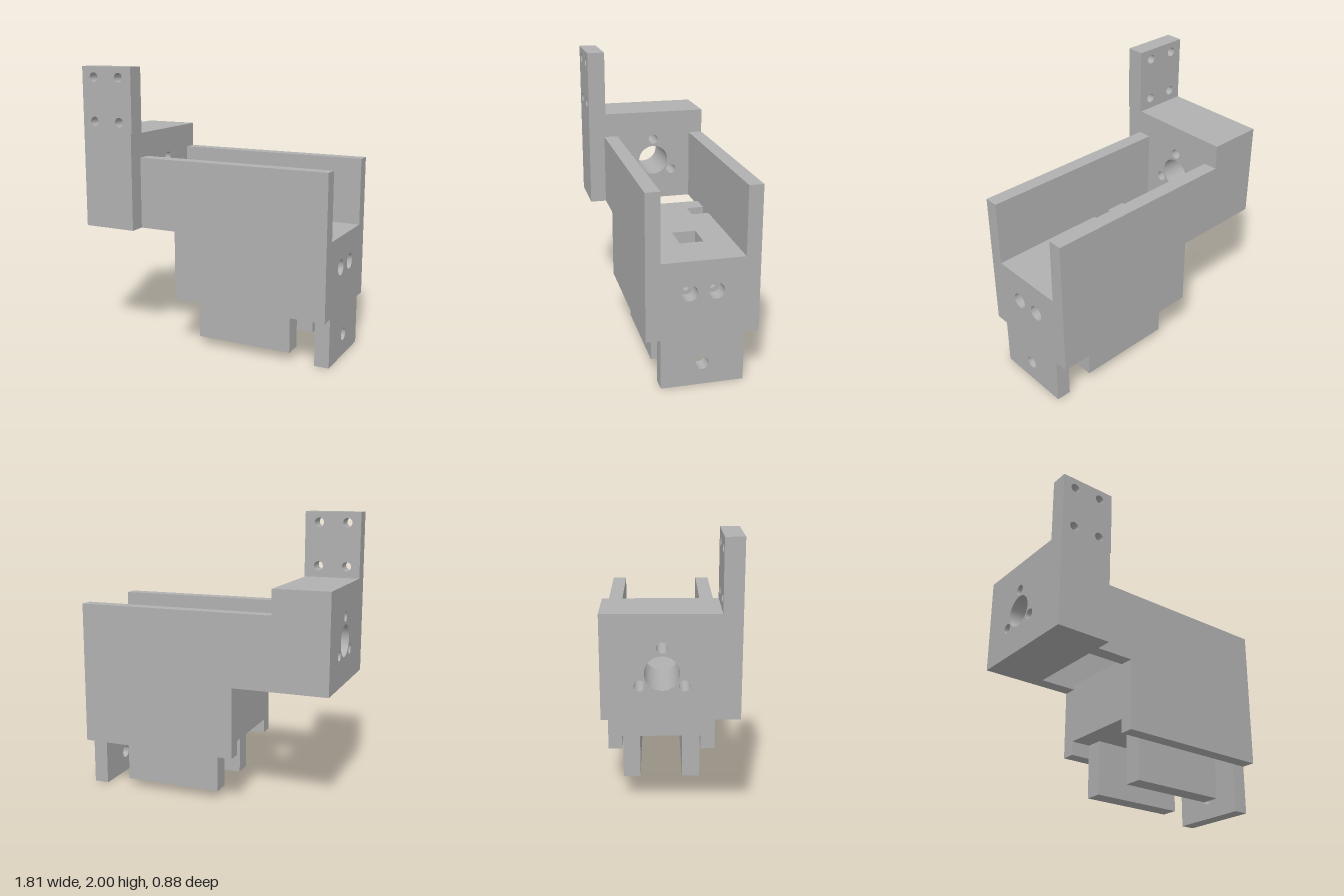
import * as THREE from 'three';
import { toCreasedNormals } from 'three/addons/utils/BufferGeometryUtils.js';

// Shape from corner points, with round holes given as [x, y, radius]
function outline(points, holes = []) {
  const shape = new THREE.Shape(points.map(([x, y]) => new THREE.Vector2(x, y)));
  for (const [x, y, r] of holes) {
    shape.holes.push(new THREE.Path().absarc(x, y, r, 0, Math.PI * 2, true));
  }
  return shape;
}

const rect = (x0, x1, y0, y1) => [[x0, y0], [x1, y0], [x1, y1], [x0, y1]];

function extrude(shape, depth) {
  return new THREE.ExtrudeGeometry(shape, { depth, bevelEnabled: false, curveSegments: 32 });
}

// Shape drawn in (x, y), running from z0 to z1
const alongZ = (shape, z0, z1) => extrude(shape, z1 - z0).translate(0, 0, z0);
// Shape drawn in (-z, y), running from x0 to x1
const alongX = (shape, x0, x1) => extrude(shape, x1 - x0).rotateY(Math.PI / 2).translate(x0, 0, 0);
// Shape drawn in (x, -z), running from y0 to y1
const alongY = (shape, y0, y1) => extrude(shape, y1 - y0).rotateX(-Math.PI / 2).translate(0, y0, 0);

export function createModel() {
  const model = new THREE.Group();
  model.name = 'mountingBracket';
  const grey = new THREE.MeshStandardMaterial({ color: 0xb0b0b0 });
  grey.name = 'grey';

  function add(name, geometry) {
    const mesh = new THREE.Mesh(toCreasedNormals(geometry, 0.6), grey);
    mesh.name = name;
    model.add(mesh);
  }

  const end = 0.905, back = -0.44, innerBack = -0.34, innerFront = 0.225;
  const floorTop = 0.885, floorBottom = 0.45;

  // End block with a large bore and three screw holes
  add('endBlock', alongX(outline(rect(-0.315, -back, 0.85, 1.535), [
    [0.055, 1.155, 0.112], [0.055, 1.32, 0.036], [-0.085, 1.075, 0.036], [0.195, 1.075, 0.036],
  ]), -end, -0.51));

  // Upright plate with four screw holes, slightly wider above the block
  const plateHoles = [];
  for (const x of [-0.81, -0.605]) for (const y of [1.615, 1.925]) plateHoles.push([x, y, 0.033]);
  add('uprightPlate', alongZ(outline([
    [-end, 0.85], [-0.51, 0.85], [-0.51, 1.535], [-0.502, 1.535], [-0.502, 2], [-end, 2],
  ], plateHoles), 0.315, 0.44));

  // Stepped side walls
  const wall = [[-0.51, 0.85], [-0.235, 0.85], [-0.235, 0.35], [end, 0.35], [end, 1.36], [-0.51, 1.36]];
  add('frontWall', alongZ(outline(wall), innerFront, 0.325));
  add('backWall', alongZ(outline(wall), back, innerBack));

  // End plate: two counterbores above, one through hole below
  const boreCentres = [-0.035, 0.145];
  add('endPlate', alongX(outline(rect(-innerFront, -innerBack, 0, floorTop), [
    ...boreCentres.map((c) => [c, 0.665, 0.056]), [0.055, 0.155, 0.045],
  ]), 0.8, end));

  // Floor section behind the end plate, with the narrow bores
  add('boredFloor', alongX(outline(rect(-innerFront, -innerBack, floorBottom, floorTop),
    boreCentres.map((c) => [c, 0.665, 0.026])), 0.59, 0.8));

  // Main floor, cut by a window at its end and a slot beside each wall
  add('floor', alongY(outline([
    [-0.235, -innerFront], [-0.09, -innerFront], [-0.09, -0.095], [0.05, -0.095], [0.05, -innerFront],
    [0.59, -innerFront], [0.59, -0.02], [0.385, -0.02], [0.385, 0.145], [0.59, 0.145],
    [0.59, -innerBack], [0.05, -innerBack], [0.05, 0.215], [-0.09, 0.215], [-0.09, -innerBack],
    [-0.235, -innerBack],
  ]), floorBottom, floorTop));

  // Rails hanging below the floor
  const rail = outline(rect(-0.09, 0.615, 0.06, floorBottom));
  add('frontRail', alongZ(rail, 0.095, innerFront));
  add('backRail', alongZ(rail, innerBack, -0.215));

  return model;
}
